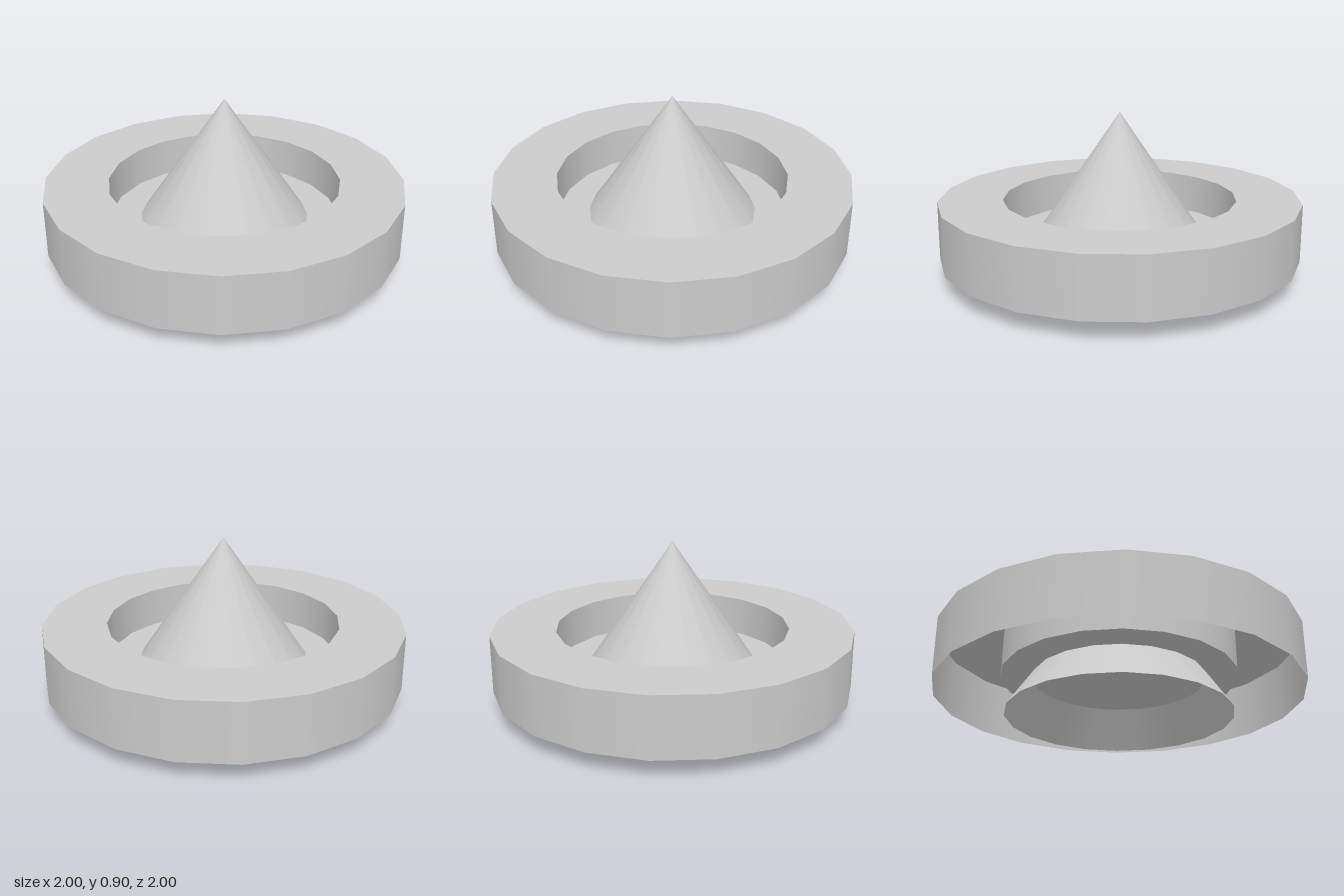
import * as THREE from 'three';

const SIDES = 20;
const RIM_BOTTOM = 0.107, RIM_TOP = 0.43, FLOOR = 0.21;
const OUTER = 1, INNER = 0.645;

export function createModel() {
  const model = new THREE.Group();
  const material = new THREE.MeshStandardMaterial({ color: 0xcccccc, side: THREE.DoubleSide });

  const add = (name, geometry) => {
    const mesh = new THREE.Mesh(geometry, material);
    mesh.name = name;
    model.add(mesh);
  };
  // Open upright wall between two heights
  const wall = (rTop, rBottom, y0, y1) =>
    new THREE.CylinderGeometry(rTop, rBottom, y1 - y0, SIDES, 1, true).translate(0, (y0 + y1) / 2, 0);
  const flat = (geometry, y) => geometry.rotateX(-Math.PI / 2).translate(0, y, 0);

  // Thin pan: outer skirt open underneath, flat rim, sunken well
  add('outerWall', wall(OUTER, OUTER, RIM_BOTTOM, RIM_TOP));
  add('rim', flat(new THREE.RingGeometry(INNER, OUTER, SIDES), RIM_TOP));
  add('wellWall', wall(INNER, INNER, FLOOR, RIM_TOP));
  add('wellFloor', flat(new THREE.CircleGeometry(INNER, SIDES), FLOOR));

  // Hollow cone passing through the floor, open at its base
  add('cone', wall(0, 0.615, 0, 0.905));

  return model;
}
